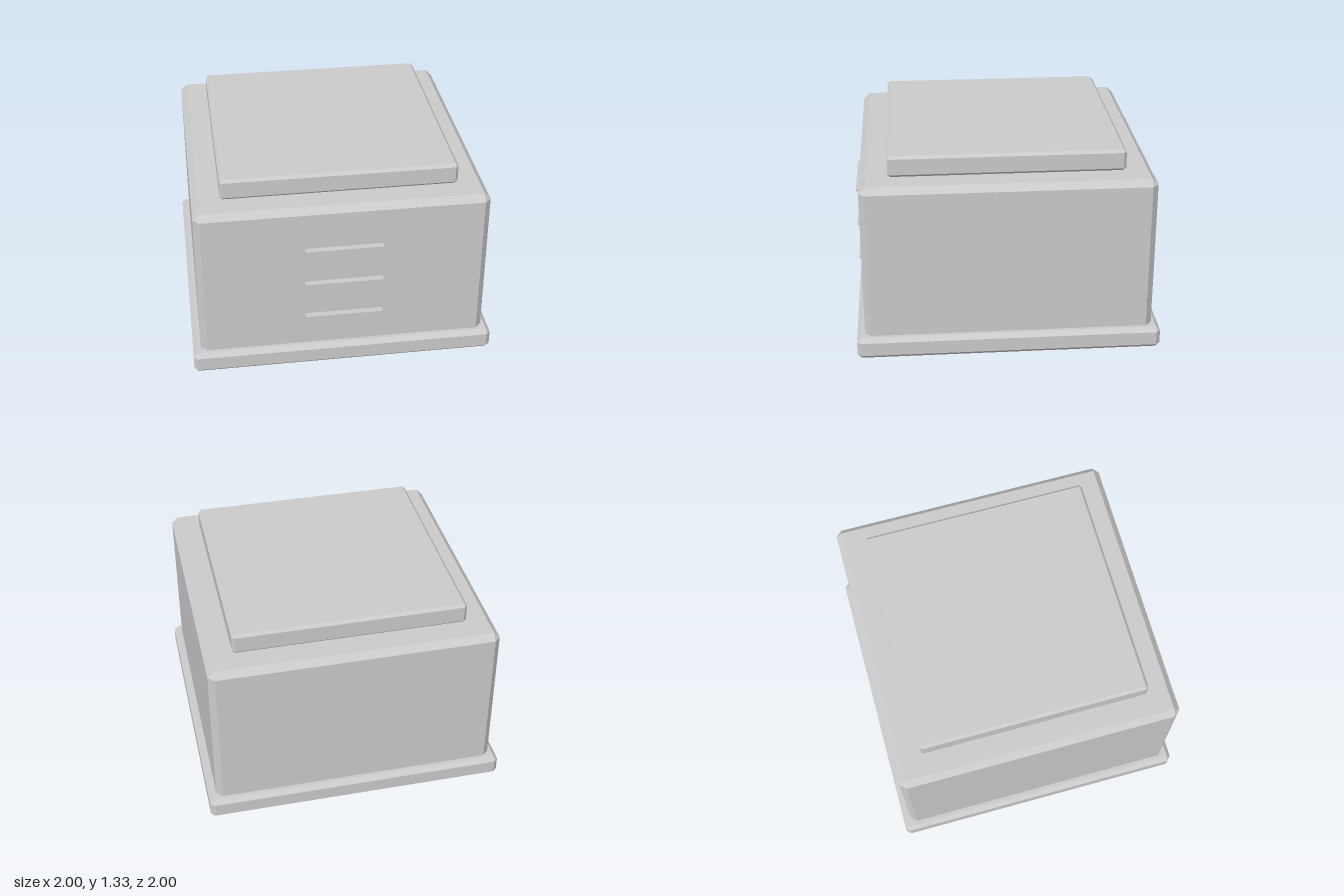
import * as THREE from 'three';
import { ConvexGeometry } from 'three/addons/geometries/ConvexGeometry.js';

const material = new THREE.MeshStandardMaterial({ color: 0xcccccc, flatShading: true });

// Square block from y0 to y1 with every edge and corner cut at 45 degrees
function chamferedBlock(name, half, y0, y1, cut) {
  const h = (y1 - y0) / 2;
  const points = [];
  for (const sx of [-1, 1]) for (const sy of [-1, 1]) for (const sz of [-1, 1]) {
    points.push(
      new THREE.Vector3(sx * half, sy * (h - cut), sz * (half - cut)),
      new THREE.Vector3(sx * (half - cut), sy * h, sz * (half - cut)),
      new THREE.Vector3(sx * (half - cut), sy * (h - cut), sz * half),
    );
  }
  const mesh = new THREE.Mesh(new ConvexGeometry(points), material);
  mesh.name = name;
  mesh.position.y = (y0 + y1) / 2;
  return mesh;
}

export function createModel() {
  const group = new THREE.Group();
  group.name = 'box';

  // Plinth, main body (its foot sunk into the plinth) and lid
  group.add(
    chamferedBlock('base', 1, 0, 0.147, 0.028),
    chamferedBlock('body', 0.948, 0.08, 1.184, 0.041),
    chamferedBlock('lid', 0.766, 1.184, 1.326, 0.018),
  );

  // Three thin horizontal ribs on the front
  const ribGeometry = new THREE.BoxGeometry(0.51, 0.018, 0.06);
  [0.376, 0.631, 0.886].forEach((y, i) => {
    const rib = new THREE.Mesh(ribGeometry, material);
    rib.name = `frontRib${i + 1}`;
    rib.position.set(0, y, 0.96);
    group.add(rib);
  });

  return group;
}
